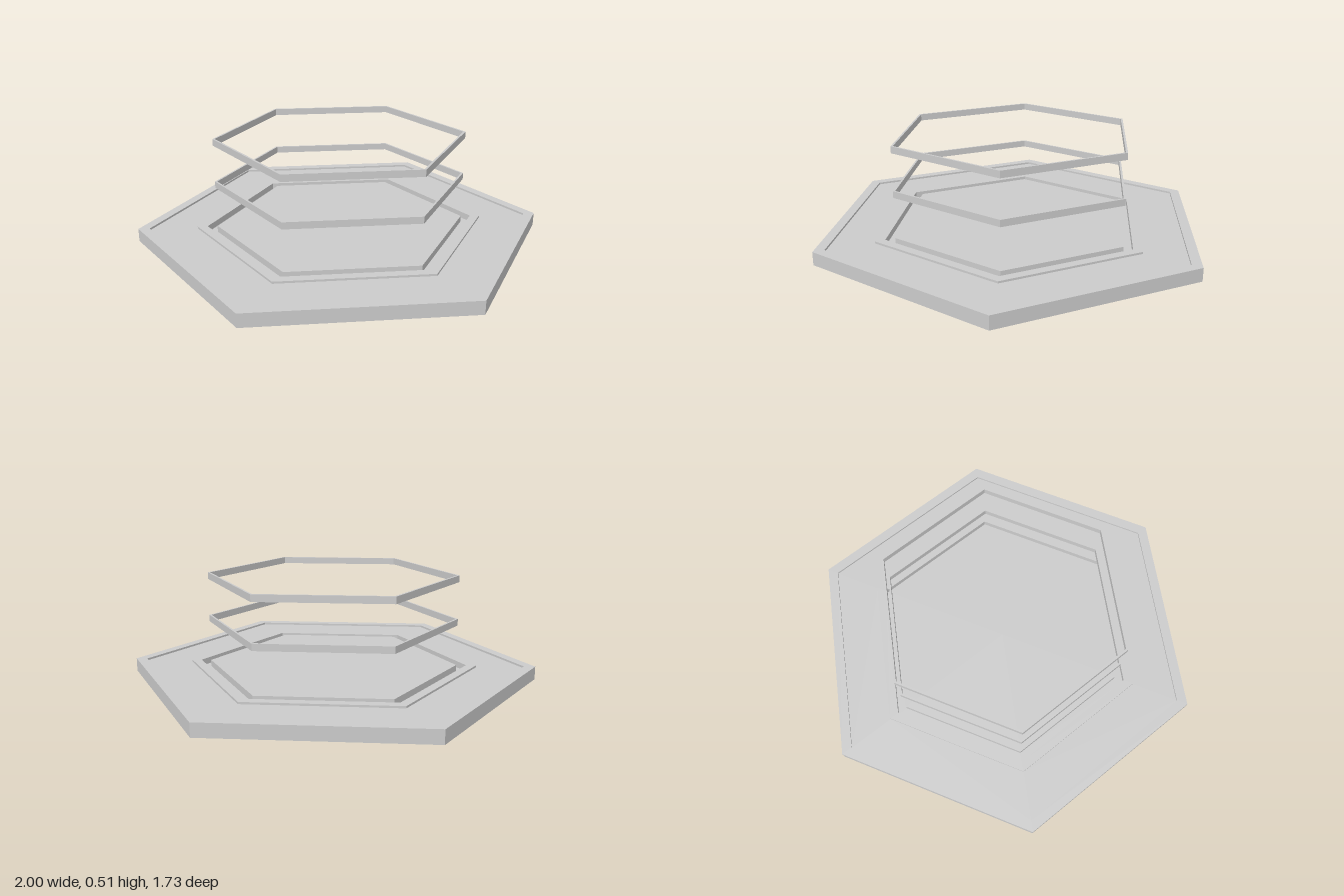
import * as THREE from 'three';

const material = new THREE.MeshStandardMaterial({ color: 0xcccccc, flatShading: true });

// Revolves a [radius, height] profile into a six-sided solid with corners on the x axis
function hexSolid(name, profile) {
  const points = profile.map(([r, y]) => new THREE.Vector2(r, y));
  const geometry = new THREE.LatheGeometry(points, 6, Math.PI / 2).toNonIndexed();
  geometry.computeVertexNormals();
  const mesh = new THREE.Mesh(geometry, material);
  mesh.name = name;
  return mesh;
}

export function createModel() {
  const model = new THREE.Group();
  model.name = 'hexagonalPlatform';

  // Base slab with a wide shallow groove and a narrow deeper one around the centre pad
  const top = 0.065, shallow = 0.055, deep = 0.033;
  model.add(hexSolid('base', [
    [0, 0], [1, 0], [1, top],
    [0.945, top], [0.945, shallow], [0.712, shallow], [0.712, top],
    [0.663, top], [0.663, deep], [0.615, deep], [0.615, top],
    [0, top],
  ]));

  // Two thin hoops floating above the pad
  const outer = 0.614, inner = 0.603, height = 0.033;
  [['lowerRing', 0.266], ['upperRing', 0.481]].forEach(([name, y]) => {
    model.add(hexSolid(name, [
      [inner, y], [outer, y], [outer, y + height], [inner, y + height], [inner, y],
    ]));
  });

  return model;
}
